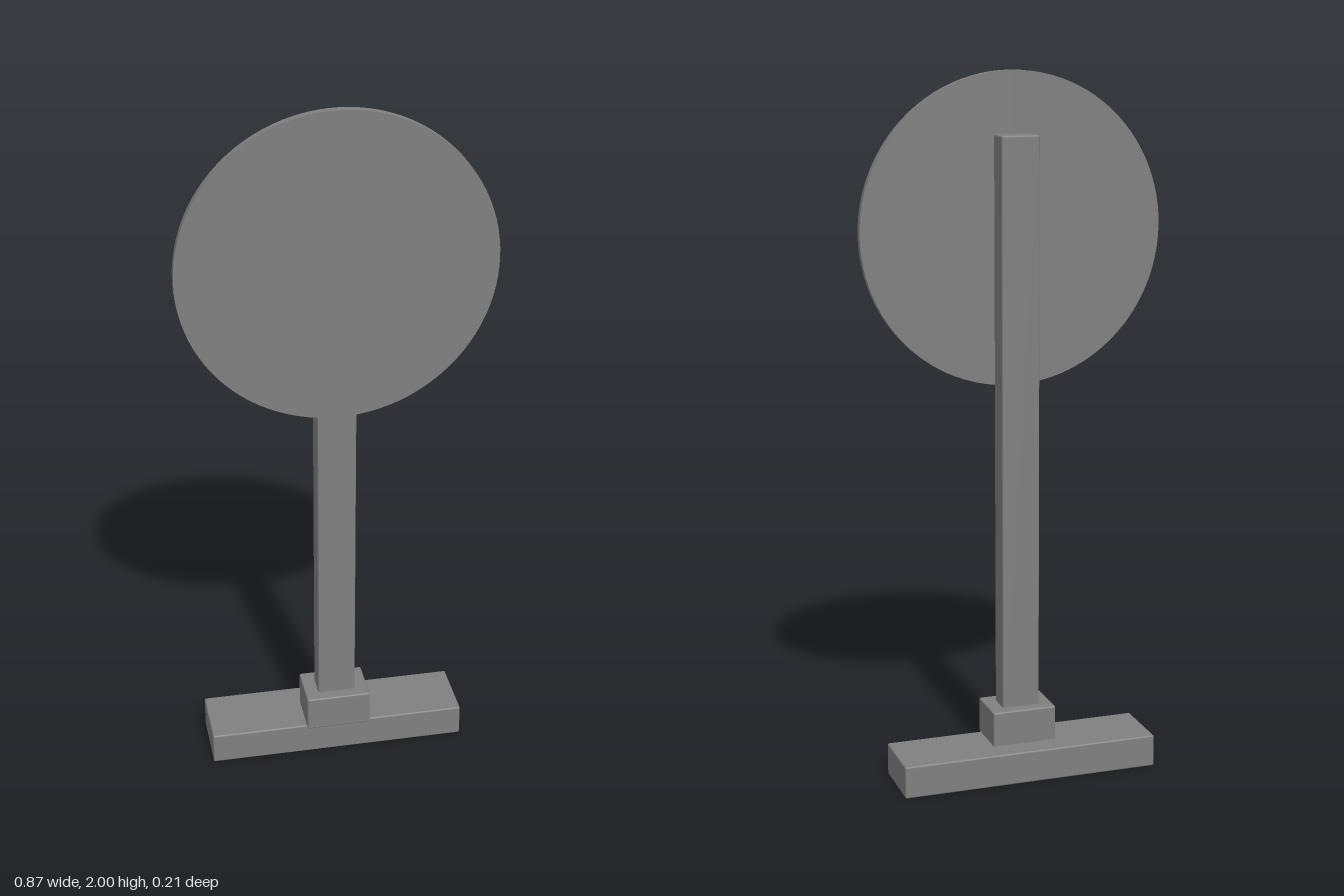
import * as THREE from 'three';
import { RoundedBoxGeometry } from 'three/addons/geometries/RoundedBoxGeometry.js';

export function createModel() {
  const model = new THREE.Group();
  model.name = 'roundSignOnStand';
  const grey = new THREE.MeshStandardMaterial({ color: 0x808080 });
  grey.name = 'grey';

  // Box with softened edges, given by its width and its y and z ranges
  function block(name, width, y0, y1, z0, z1) {
    const mesh = new THREE.Mesh(new RoundedBoxGeometry(width, y1 - y0, z1 - z0, 2, 0.005), grey);
    mesh.name = name;
    mesh.position.set(0, (y0 + y1) / 2, (z0 + z1) / 2);
    model.add(mesh);
  }

  block('base', 0.752, 0, 0.094, -0.103, 0.091);
  block('collar', 0.188, 0.089, 0.195, -0.036, 0.103);
  block('post', 0.11, 0.15, 1.828, -0.002, 0.069);

  // Round plate fixed to the front of the post
  const disc = new THREE.Mesh(new THREE.CylinderGeometry(0.436, 0.436, 0.023, 96), grey);
  disc.name = 'disc';
  disc.rotation.x = Math.PI / 2;
  disc.position.set(0, 1.564, 0.0795);
  model.add(disc);

  return model;
}
